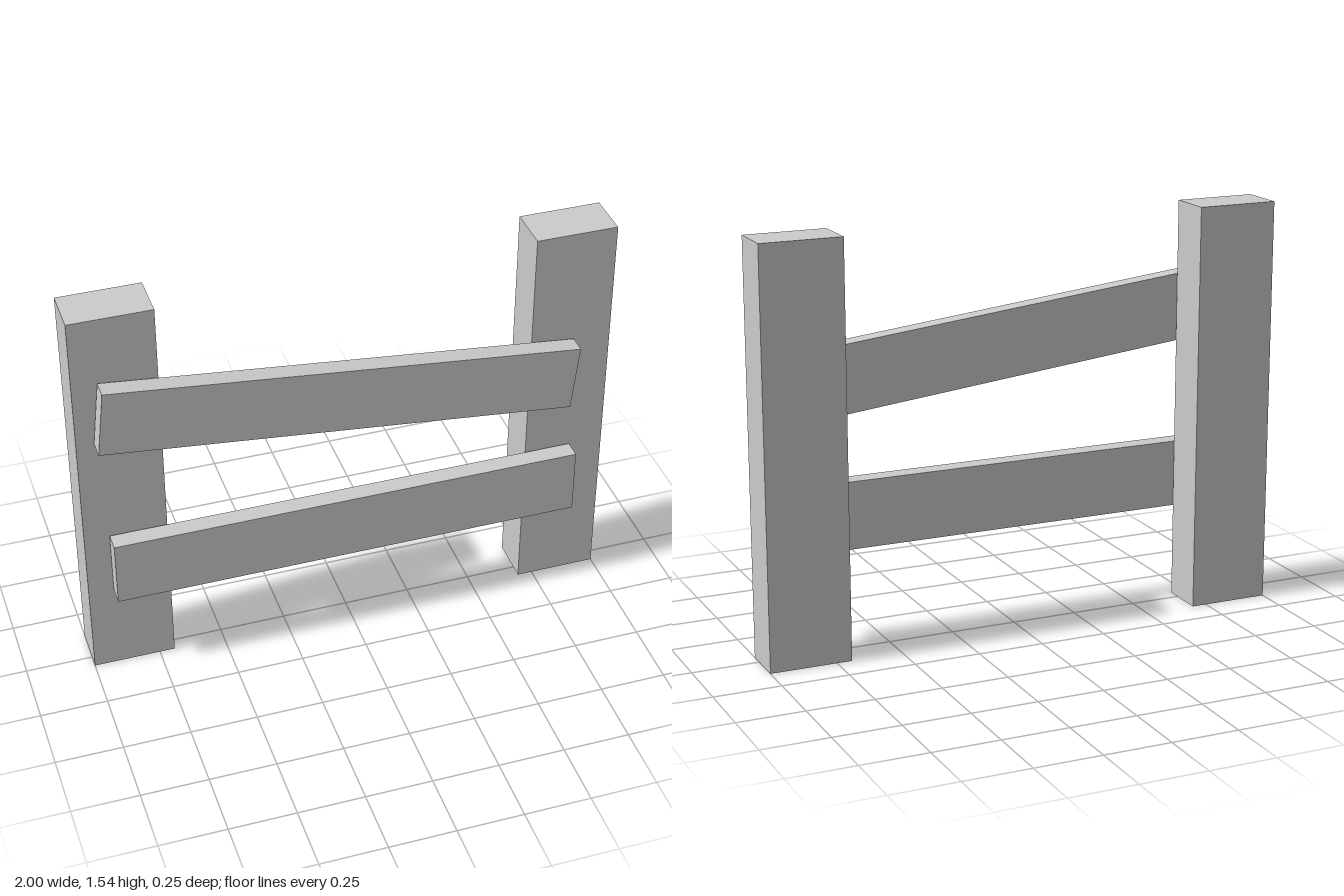
import * as THREE from 'three';

export function createModel() {
  const group = new THREE.Group();
  const material = new THREE.MeshStandardMaterial({ color: 0xcccccc, flatShading: true });

  function addBoard(name, size, position, tilt = 0) {
    const mesh = new THREE.Mesh(new THREE.BoxGeometry(...size), material);
    mesh.name = name;
    mesh.position.set(...position);
    mesh.rotation.z = tilt;
    group.add(mesh);
  }

  // Upright posts
  for (const [name, side] of [['leftPost', 1], ['rightPost', -1]]) {
    addBoard(name, [0.307, 1.54, 0.174], [side * 0.8465, 0.77, -0.038]);
  }

  // Rails in front of the posts, the upper one sagging to the left
  const railSize = [1.775, 0.255, 0.07];
  addBoard('lowerRail', railSize, [-0.02, 0.482, 0.09]);
  addBoard('upperRail', railSize, [-0.04, 1.062, 0.09], -0.108);

  return group;
}
